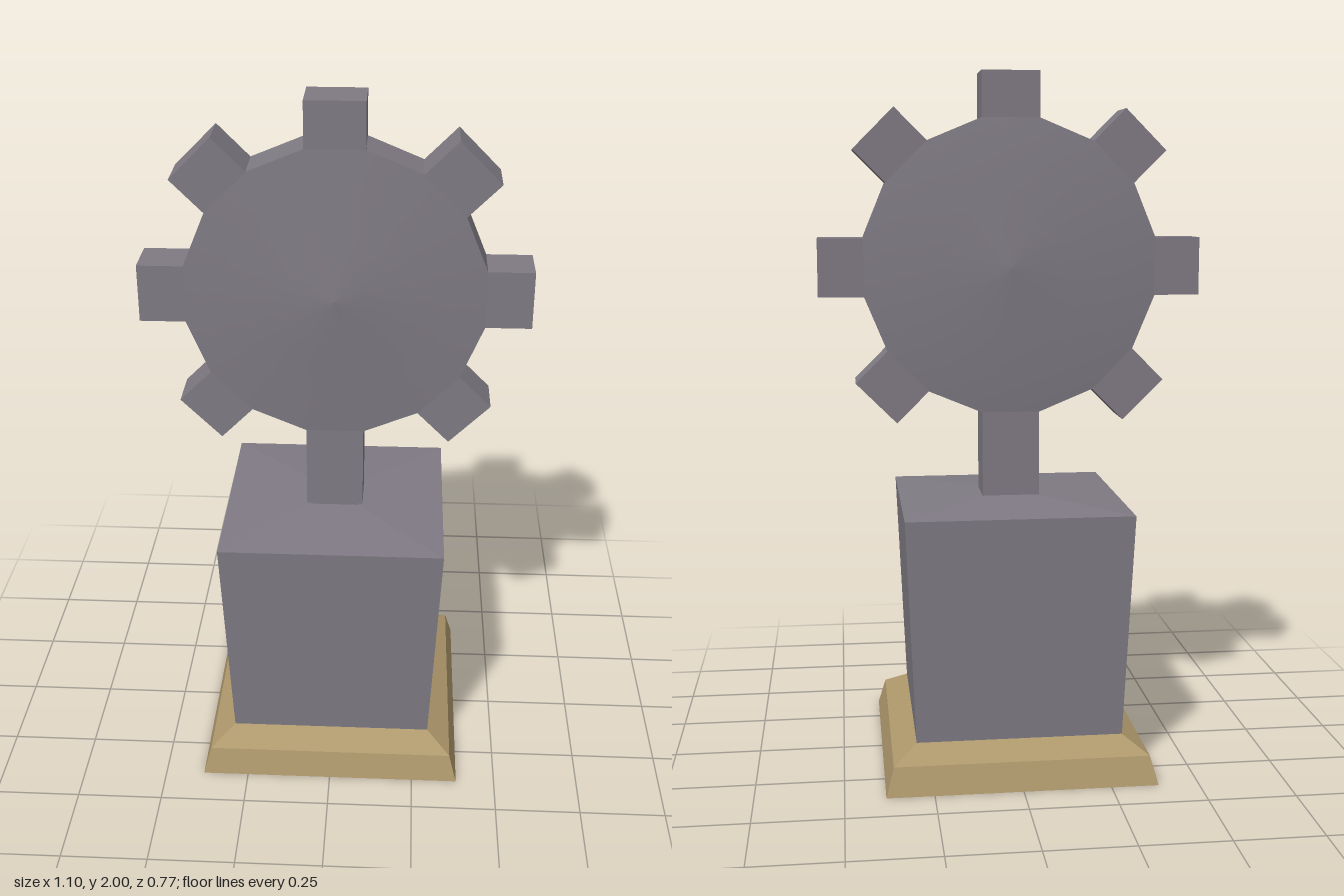
import * as THREE from 'three';

const stone = new THREE.MeshStandardMaterial({ color: 0x7f7a83, side: THREE.DoubleSide });
stone.name = 'stone grey';
const flatStone = stone;
const brass = new THREE.MeshStandardMaterial({ color: 0xae986c, side: THREE.DoubleSide });
brass.name = 'dull brass';

const GEAR_Y = 1.45, ROOT = 0.428, TIP = 0.55, HALF_TOOTH = 0.083;
const Z_BACK = -0.073, Z_FRONT = 0.063;

function add(parent, name, geometry, material) {
  const mesh = new THREE.Mesh(geometry, material);
  mesh.name = name;
  parent.add(mesh);
  return mesh;
}

// Four-sided open shell through square sections [halfWidth, y], faceted
function squareShell(sections) {
  const corners = [[1, 1], [1, -1], [-1, -1], [-1, 1]];
  const positions = [];
  const at = ([h, y], k) => [corners[k % 4][0] * h, y, corners[k % 4][1] * h];
  for (let i = 0; i < sections.length - 1; i++) {
    for (let k = 0; k < 4; k++) {
      const a = at(sections[i], k), b = at(sections[i], k + 1);
      const c = at(sections[i + 1], k + 1), d = at(sections[i + 1], k);
      positions.push(...a, ...b, ...c, ...a, ...c, ...d);
    }
  }
  const geometry = new THREE.BufferGeometry();
  geometry.setAttribute('position', new THREE.Float32BufferAttribute(positions, 3));
  geometry.computeVertexNormals();
  return geometry;
}

// Sixteen-sided disc outline with a tooth on every other side; the stem replaces the bottom one
function gearOutline() {
  const points = [];
  const rootDepth = ROOT * Math.cos(Math.PI / 16);
  for (let i = 0; i < 8; i++) {
    const angle = i * Math.PI / 4;
    const place = (r, s) => new THREE.Vector2(r, s).rotateAround(new THREE.Vector2(), angle);
    points.push(place(rootDepth, -HALF_TOOTH));
    if (i !== 6) points.push(place(TIP, -HALF_TOOTH), place(TIP, HALF_TOOTH));
    points.push(place(rootDepth, HALF_TOOTH));
  }
  return new THREE.Shape(points);
}

// Shallow smooth dome, profile points are [radius, z] with z ascending
function dome(profile) {
  const points = profile.map(([r, z]) => new THREE.Vector2(r, z));
  return new THREE.LatheGeometry(points, 16, Math.PI / 16).rotateX(Math.PI / 2);
}

export function createModel() {
  const model = new THREE.Group();
  model.name = 'gearTrophy';

  // Hollow stepped base and tapered pedestal
  add(model, 'base', squareShell([[0.385, 0], [0.363, 0.08], [0.295, 0.122]]), brass);
  add(model, 'pedestal', squareShell([[0.295, 0.122], [0.323, 0.768], [0.07, 0.784]]), flatStone);

  // Stem
  const stemTop = GEAR_Y - ROOT * Math.cos(Math.PI / 16);
  const stem = add(model, 'stem',
    new THREE.BoxGeometry(HALF_TOOTH * 2, stemTop - 0.77, Z_FRONT - Z_BACK), stone);
  stem.position.set(0, (stemTop + 0.77) / 2, (Z_FRONT + Z_BACK) / 2);

  // Gear wheel with a domed face on each side
  const gear = new THREE.Group();
  gear.name = 'gear';
  gear.position.y = GEAR_Y;
  model.add(gear);
  const wheel = new THREE.ExtrudeGeometry(gearOutline(), { depth: Z_FRONT - Z_BACK, bevelEnabled: false });
  add(gear, 'toothedWheel', wheel.translate(0, 0, Z_BACK), stone);
  add(gear, 'frontDome', dome([[ROOT, Z_FRONT], [0.33, 0.071], [0.2, 0.081], [0, 0.1]]), stone);
  add(gear, 'backDome', dome([[0, -0.111], [0.2, -0.096], [0.33, -0.086], [ROOT, Z_BACK]]), stone);
  return model;
}
